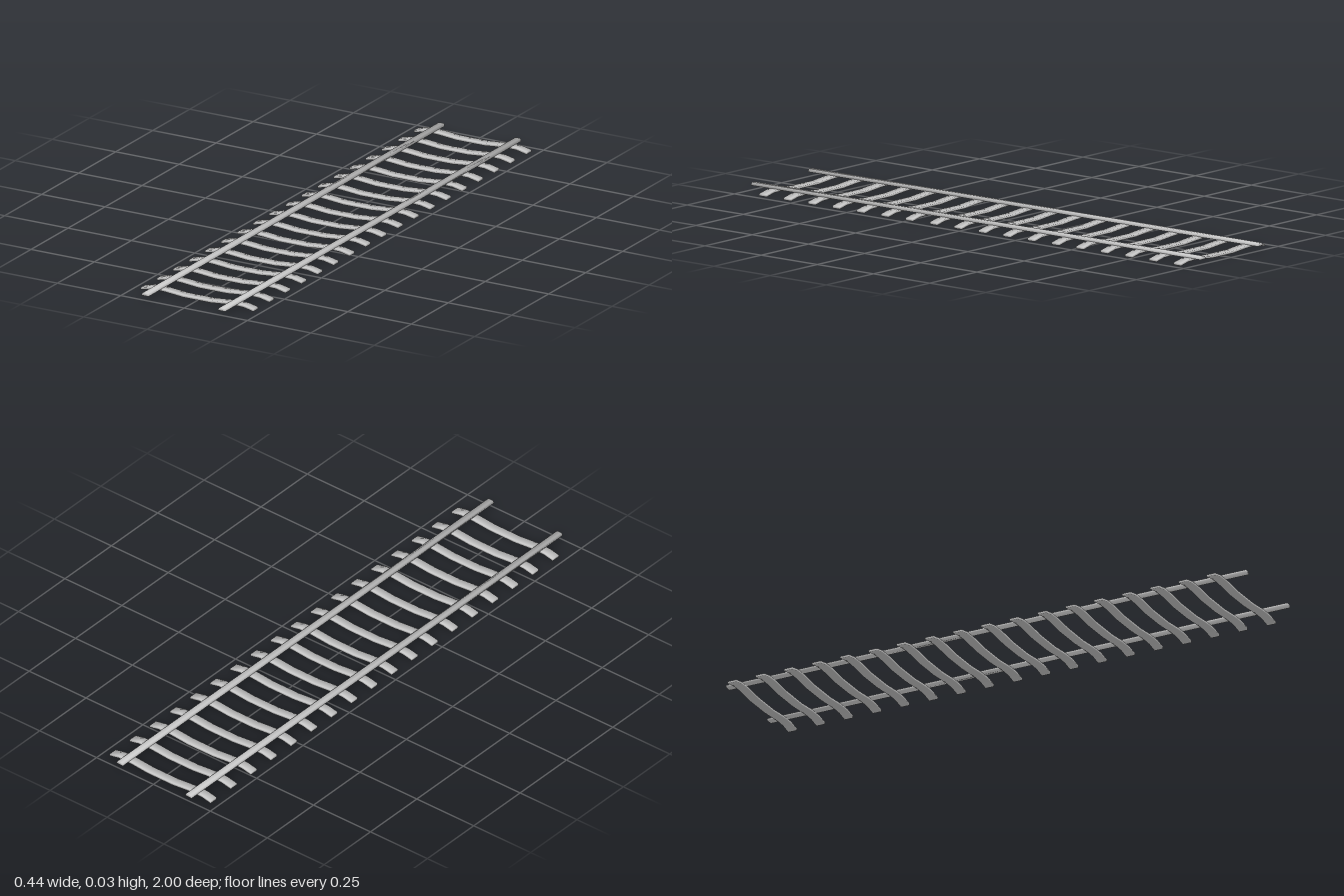
import * as THREE from 'three';

const material = new THREE.MeshStandardMaterial({ color: 0xcccccc });

// Height of the sleeper's centre line at stations along half its length
const bend = [[0, 0.0065], [0.055, 0.0065], [0.125, 0.013], [0.15, 0.014], [0.183, 0.013], [0.222, 0.0045]];
const thickness = 0.008, width = 0.033;

// Sleeper: a thin bent plank, humped under each rail, softly shaded across its edges
function createSleeper() {
  const steps = bend.length - 1;
  const geometry = new THREE.BoxGeometry(2 * steps, 2, 2, 2 * steps, 1, 1);
  const { position, normal } = geometry.attributes;
  const n = new THREE.Vector3();
  for (let i = 0; i < position.count; i++) {
    const station = Math.round(position.getX(i)), side = Math.sign(station), k = Math.abs(station);
    const up = position.getY(i), front = position.getZ(i);
    const before = bend[Math.max(k - 1, 0)], after = bend[Math.min(k + 1, steps)];
    const slope = side * (after[1] - before[1]) / (after[0] - before[0]);
    n.set(-slope * up + (k === steps ? side : 0), up, front).normalize();
    normal.setXYZ(i, n.x, n.y, n.z);
    position.setXYZ(i, side * bend[k][0], bend[k][1] + up * thickness / 2, front * width / 2);
  }
  return geometry;
}

// Rail: a low bar with a domed head, smooth around its profile and softened at its ends
function createRail() {
  const profile = [
    [-0.0135, 0.0165], [0.0135, 0.0165], [0.0135, 0.0205], [0.0115, 0.0252],
    [0.0075, 0.027], [-0.0075, 0.027], [-0.0115, 0.0252], [-0.0135, 0.0205],
  ];
  const shape = new THREE.Shape(profile.map(([x, y]) => new THREE.Vector2(x, y)));
  const geometry = new THREE.ExtrudeGeometry(shape, { depth: 2, bevelEnabled: false });
  geometry.translate(0, 0, -1);
  const { position, normal } = geometry.attributes;
  const n = new THREE.Vector3();
  for (let i = 0; i < position.count; i++) {
    n.set(position.getX(i) / 0.0135, (position.getY(i) - 0.0205) / 0.0065, position.getZ(i)).normalize();
    normal.setXYZ(i, n.x, n.y, n.z);
  }
  return geometry;
}

function addPart(group, name, geometry, x, z) {
  const mesh = new THREE.Mesh(geometry, material);
  mesh.name = name;
  mesh.position.set(x, 0, z);
  group.add(mesh);
}

export function createModel() {
  const track = new THREE.Group();
  track.name = 'railwayTrack';

  const sleeper = createSleeper();
  const count = 18, first = -0.948, pitch = 0.1085;
  for (let i = 0; i < count; i++) addPart(track, `sleeper${i + 1}`, sleeper, 0, first + i * pitch);

  const rail = createRail();
  addPart(track, 'rightRail', rail, -0.154, 0);
  addPart(track, 'leftRail', rail, 0.148, 0);
  return track;
}
